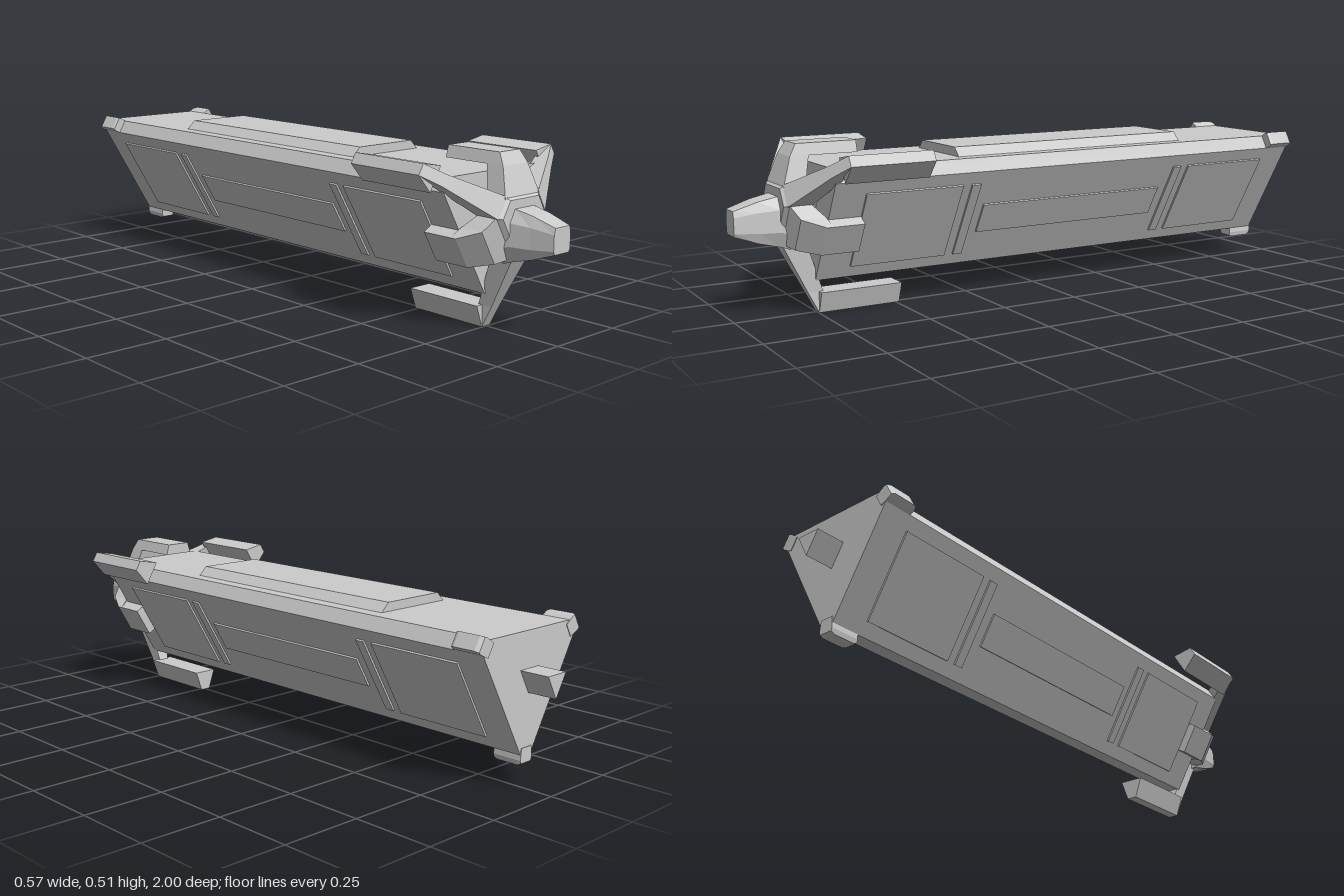
import * as THREE from 'three';

const AXIS_Y = 0.32; // height of the three-fold symmetry axis
const mat = new THREE.MeshStandardMaterial({ color: 0xcccccc, flatShading: true });

// Skin a row of equal-length rings of [x, y, z] points and cap both ends
function loft(name, rings) {
  const tris = [];
  const n = rings[0].length;
  for (let i = 0; i < rings.length - 1; i++) {
    for (let j = 0; j < n; j++) {
      const k = (j + 1) % n;
      const a = rings[i][j], b = rings[i][k], c = rings[i + 1][k], d = rings[i + 1][j];
      tris.push([a, b, c], [a, c, d]);
    }
  }
  const first = rings[0], last = rings[rings.length - 1];
  for (let j = 1; j < n - 1; j++) {
    tris.push([first[0], first[j + 1], first[j]], [last[0], last[j], last[j + 1]]);
  }
  // Turn the faces outward if the enclosed volume is negative
  const v = (p) => new THREE.Vector3(...p);
  const volume = tris.reduce((s, [a, b, c]) => s + v(a).dot(v(b).cross(v(c))), 0);
  if (volume < 0) tris.forEach((t) => t.reverse());
  const geo = new THREE.BufferGeometry();
  geo.setAttribute('position', new THREE.Float32BufferAttribute(tris.flat(2), 3));
  geo.computeVertexNormals();
  const mesh = new THREE.Mesh(geo, mat);
  mesh.name = name;
  return mesh;
}

// Bar along z with a trapezoid section: radius r0 (half width w0) to r1 (w1)
function bar(name, r0, w0, r1, w1, z0, z1) {
  const ring = (z) => [[-w0, r0, z], [w0, r0, z], [w1, r1, z], [-w1, r1, z]];
  return loft(name, [ring(z0), ring(z1)]);
}

// Arm running outward; each step is [radius, half width, back z, front z]
function arm(name, steps) {
  return loft(name, steps.map(([r, w, zb, zf]) => [[-w, r, zb], [w, r, zb], [w, r, zf], [-w, r, zf]]));
}

// Group whose local +y points outward at the given angle around the axis
function spoke(name, degrees, parts) {
  const g = new THREE.Group();
  g.name = name;
  g.rotation.z = THREE.MathUtils.degToRad(degrees);
  g.add(...parts);
  return g;
}

const polar = (r, deg, z) => {
  const a = THREE.MathUtils.degToRad(deg);
  return [r * Math.cos(a), r * Math.sin(a), z];
};

export function createModel() {
  const model = new THREE.Group();
  model.name = 'triangularVessel';
  const hull = new THREE.Group();
  hull.name = 'hull';
  hull.position.y = AXIS_Y;
  model.add(hull);

  // Long three-sided body with cut corners
  const section = (z) => [30, 150, 270].flatMap((c) => [polar(0.221, c - 6, z), polar(0.221, c + 6, z)]);
  hull.add(loft('body', [section(-0.91), section(0.76)]));

  // Triangular stub at the stern
  const stub = (z) => [30, 150, 270].map((c) => polar(0.046, c, z));
  hull.add(loft('sternStub', [stub(-1), stub(-0.9)]));

  // Raised slab on the top face
  hull.add(bar('topSlab', 0.125, 0.14, 0.157, 0.108, -0.49, 0.34));

  // Panels on the two lower faces: [z start, z end, half width]
  const panels = [
    [0.35, 0.66, 0.135], [0.29, 0.32, 0.135], [-0.4, 0.26, 0.053],
    [-0.465, -0.435, 0.135], [-0.81, -0.495, 0.135],
  ];
  for (const angle of [120, -120]) {
    hull.add(spoke('sidePanels', angle, panels.map(([z0, z1, w]) =>
      bar('sidePanel', 0.125, w, 0.136, w, z0, z1))));
    // Short hooks gripping the front of the lower faces
    hull.add(spoke('lowerHook', angle, [
      arm('lowerHookArm', [[0.07, 0.072, 0.8, 0.862], [0.125, 0.056, 0.765, 0.84], [0.164, 0.051, 0.755, 0.775]]),
      bar('lowerHookBlock', 0.125, 0.051, 0.164, 0.051, 0.66, 0.775),
    ]));
  }

  // Tall hook over the top face
  hull.add(spoke('topHook', 0, [
    arm('topHookArm', [[0.07, 0.073, 0.8, 0.865], [0.155, 0.052, 0.78, 0.836], [0.19, 0.042, 0.77, 0.815]]),
    bar('topHookBar', 0.155, 0.052, 0.19, 0.042, 0.63, 0.815),
  ]));

  for (const angle of [60, -60, 180]) {
    // Clawed arms reaching past each corner
    hull.add(spoke('cornerClaw', angle, [
      arm('clawArm', [[0.095, 0.034, 0.79, 0.865], [0.255, 0.018, 0.735, 0.782], [0.32, 0.017, 0.735, 0.748]]),
      bar('clawBar', 0.255, 0.04, 0.32, 0.017, 0.49, 0.748),
    ]));
    // Lugs on the stern corners
    const lug = (z, s) => [[-0.022, 0.2, z], [0.022, 0.2, z], [0.025, 0.235, z],
      [0.022, 0.25 - s, z], [-0.022, 0.25 - s, z], [-0.025, 0.235, z]];
    hull.add(spoke('sternLug', angle, [
      loft('lug', [lug(-0.912, 0.006), lug(-0.9, 0), lug(-0.83, 0), lug(-0.82, 0.004)])]));
  }

  // Six-sided head plate joining the arms, on a small neck
  const plate = (r, z) => [12, 48, 132, 168, 252, 288].map((a) => polar(r, a, z));
  hull.add(loft('headPlate', [plate(0.1, 0.795), plate(0.108, 0.855), plate(0.09, 0.872)]));
  hull.add(loft('neck', [plate(0.05, 0.75), plate(0.05, 0.8)]));

  // Tapered eight-sided nose: [z, flat half width, full half width, y levels]
  const nose = [
    [0.84, 0.045, 0.065, -0.115, -0.07, 0.005, 0.045],
    [0.87, 0.04, 0.06, -0.105, -0.06, 0.005, 0.042],
    [0.93, 0.036, 0.047, -0.09, -0.06, 0.0, 0.03],
    [1.0, 0.03, 0.035, -0.065, -0.055, -0.01, 0.008],
  ].map(([z, a, b, y0, y1, y2, y3]) => [
    [-a, y0, z], [a, y0, z], [b, y1, z], [b, y2, z],
    [a, y3, z], [-a, y3, z], [-b, y2, z], [-b, y1, z],
  ]);
  hull.add(loft('nose', nose));

  return model;
}
